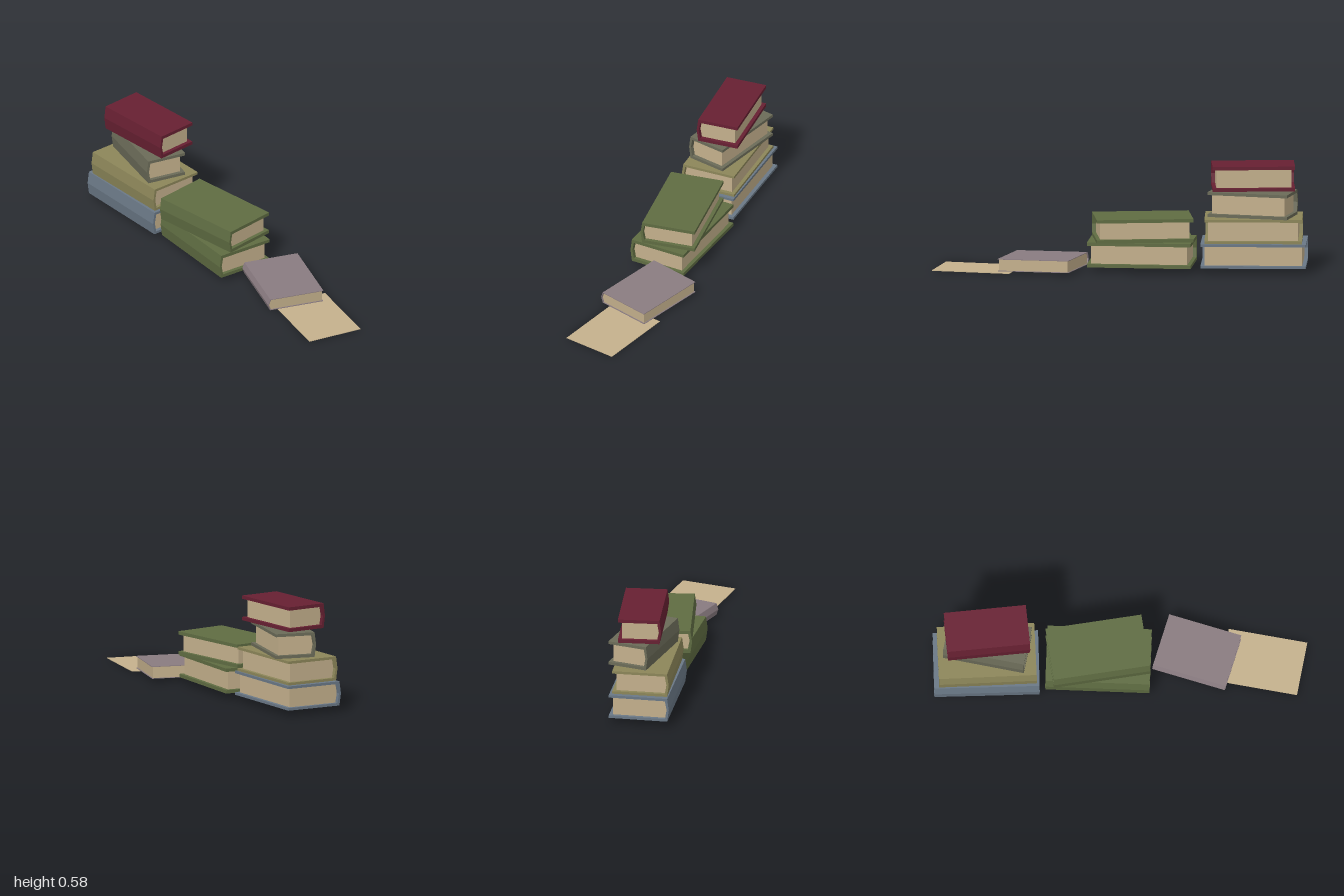
import * as THREE from 'three';

const PAPER = 0xc4b08c;

// Extrudes a cross-section (x, y) along z, centred on z = 0
function extrude(points, length, color, name) {
  const shape = new THREE.Shape(points.map(([x, y]) => new THREE.Vector2(x, y)));
  const geometry = new THREE.ExtrudeGeometry(shape, { depth: length, bevelEnabled: false });
  geometry.translate(0, 0, -length / 2);
  const material = new THREE.MeshStandardMaterial({ color, flatShading: true });
  const mesh = new THREE.Mesh(geometry, material);
  mesh.name = name;
  return mesh;
}

// A closed book lying flat: spine on -x, page edges on the other three sides
function createBook({ name, color, w, h, l, x, y, z, yaw = 0, pitch = 0,
  board = 0.018, spine = 0.012, bulge = 0.009, inset = 0.02 }) {
  const book = new THREE.Group();
  book.name = name;
  const left = -w / 2, right = w / 2, mid = h / 2;
  const hinge = left + bulge, inner = hinge + spine;

  // Cover: one C-shaped section with a pointed spine
  book.add(extrude([
    [hinge, 0], [right, 0], [right, board], [inner, board],
    [inner - bulge, mid],
    [inner, h - board], [right, h - board], [right, h], [hinge, h],
    [left, mid],
  ], l, color, name + 'Cover'));

  // Page block, set back from the cover edges and following the spine
  const gap = 0.002;
  book.add(extrude([
    [inner + gap, board], [right - inset, board], [right - inset, h - board],
    [inner + gap, h - board], [inner + gap - bulge, mid],
  ], l - 2 * inset, PAPER, name + 'Pages'));

  book.position.set(x, y, z);
  book.rotation.set(pitch, yaw, 0);
  return book;
}

export function createModel() {
  const model = new THREE.Group();
  model.name = 'bookStacks';

  const books = [
    // Tall rear stack, bottom to top
    { name: 'blueBook', color: 0x6a7886, w: 0.325, h: 0.131, l: 0.562, x: -0.03, y: 0.03, z: -0.718, yaw: -0.008, board: 0.014 },
    { name: 'oliveBook', color: 0x8c8659, w: 0.305, h: 0.13, l: 0.52, x: -0.03, y: 0.162, z: -0.715, yaw: 0.01, board: 0.014 },
    { name: 'greyBook', color: 0x6b6b58, w: 0.225, h: 0.134, l: 0.438, x: -0.008, y: 0.296, z: -0.711, yaw: -0.235, board: 0.016 },
    { name: 'redBook', color: 0x672032, w: 0.232, h: 0.134, l: 0.44, x: -0.006, y: 0.443, z: -0.713, yaw: 0.067 },
    // Short middle stack
    { name: 'lowerGreenBook', color: 0x5f6c42, w: 0.322, h: 0.135, l: 0.556, x: -0.028, y: 0.03, z: -0.119, yaw: -0.075 },
    { name: 'upperGreenBook', color: 0x5f6c42, w: 0.302, h: 0.126, l: 0.517, x: -0.029, y: 0.165, z: -0.123, yaw: 0.12 },
    // Thin-covered book leaning on the sheet
    { name: 'paperback', color: 0x897b80, w: 0.312, h: 0.066, l: 0.402, x: 0.012, y: 0.012, z: 0.405, yaw: -0.327,
      pitch: 0.032, board: 0.003, spine: 0.004, bulge: 0.011, inset: 0.006 },
  ];
  books.forEach((spec) => model.add(createBook(spec)));

  // Loose sheet of paper on the floor
  const sheet = new THREE.Mesh(
    new THREE.BoxGeometry(0.302, 0.003, 0.426),
    new THREE.MeshStandardMaterial({ color: PAPER, flatShading: true }),
  );
  sheet.name = 'looseSheet';
  sheet.position.set(-0.035, 0.0015, 0.757);
  sheet.rotation.y = -0.22;
  model.add(sheet);

  return model;
}
